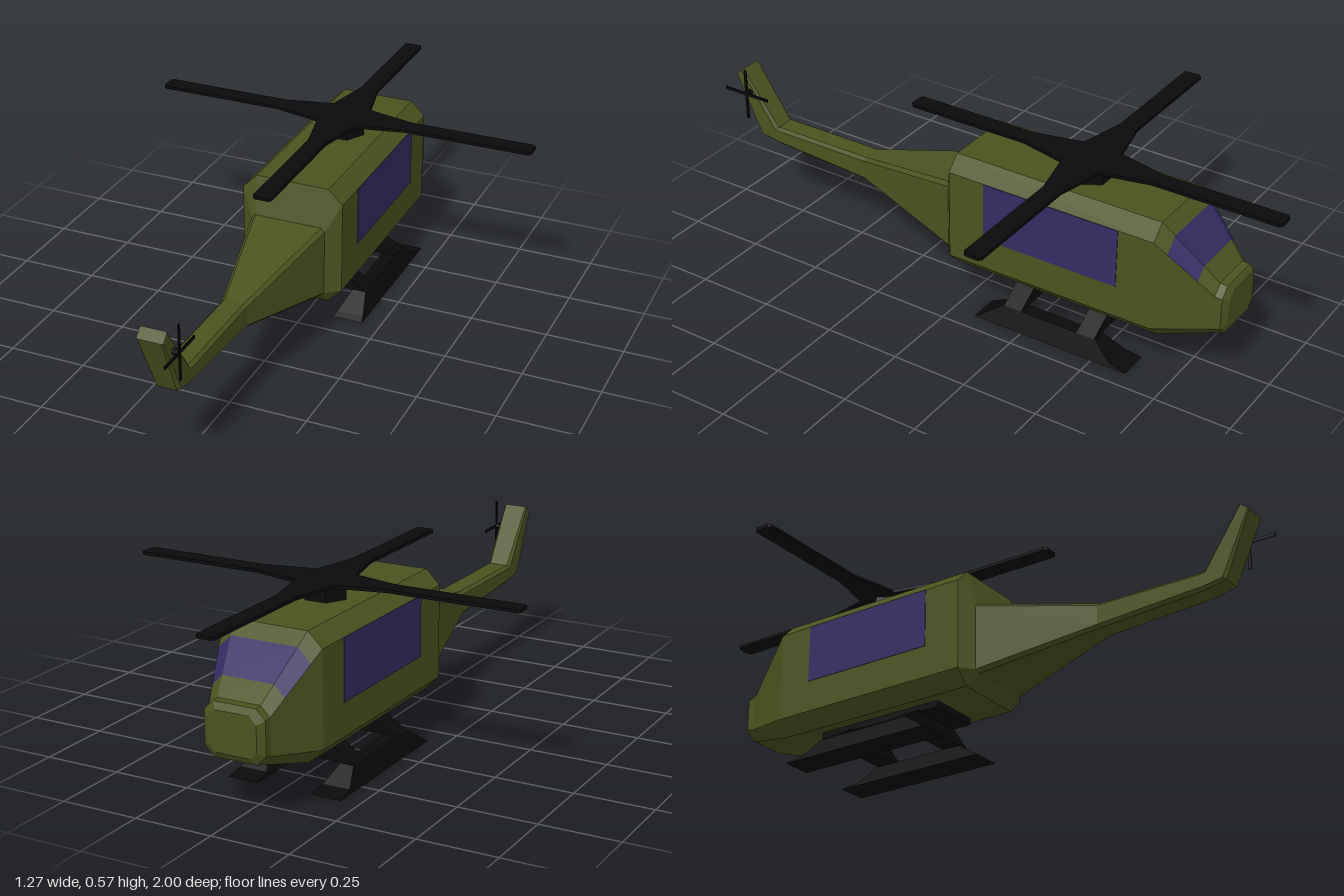
import * as THREE from 'three';

const paint = (color) => new THREE.MeshStandardMaterial({ color, flatShading: true });
const GREEN = paint(0x4b5320), GLASS = paint(0x332d62), BLACK = paint(0x0a0a0a);

// Chamfered-rectangle ring; station = [zBottom, yBottom, zTop, yTop, halfWidth, chamfer]
function ring([zb, yb, zt, yt, w, c]) {
  const f = c / Math.hypot(zt - zb, yt - yb);
  const at = (x, t) => [x, yb + (yt - yb) * t, zb + (zt - zb) * t];
  const half = [[w - c, 0], [w, f], [w, 1 - f], [w - c, 1]];
  return [...half.map(([x, t]) => at(x, t)), ...half.reverse().map(([x, t]) => at(-x, t))];
}

// Flat-faced skin over stations running from front (-z) to back (+z)
function loft(stations, { capFront = false, capBack = false, keep = () => true } = {}) {
  const rings = stations.map(ring), pos = [];
  const tri = (...p) => p.forEach((v) => pos.push(...v));
  for (let s = 0; s < rings.length - 1; s++) {
    const A = rings[s], B = rings[s + 1];
    for (let i = 0; i < 8; i++) {
      if (!keep(s, i)) continue;
      const j = (i + 1) % 8;
      tri(A[i], A[j], B[j]);
      tri(A[i], B[j], B[i]);
    }
  }
  const F = rings[0], L = rings[rings.length - 1];
  for (let i = 1; i < 7; i++) {
    if (capFront) tri(F[0], F[i + 1], F[i]);
    if (capBack) tri(L[0], L[i], L[i + 1]);
  }
  const g = new THREE.BufferGeometry();
  g.setAttribute('position', new THREE.Float32BufferAttribute(pos, 3));
  g.computeVertexNormals();
  return g;
}

function add(parent, name, geometry, material, x = 0, y = 0, z = 0) {
  const m = new THREE.Mesh(geometry, material);
  m.name = name;
  m.position.set(x, y, z);
  parent.add(m);
  return m;
}

const shapeOf = (pts) => new THREE.Shape(pts.map(([x, y]) => new THREE.Vector2(x, y)));
const extrude = (pts, depth) =>
  new THREE.ExtrudeGeometry(shapeOf(pts), { depth, bevelEnabled: false });

// One skid: side profile extruded sideways, then tapered in x towards its top
function skidGeometry(side) {
  const g = extrude([[0.08, 0], [0.62, 0], [0.56, 0.012], [0.5, 0.06], [0.17, 0.06], [0.1, 0.012]], 1);
  g.rotateY(Math.PI / 2);
  const p = g.attributes.position;
  for (let i = 0; i < p.count; i++) {
    const t = p.getY(i) / 0.06;
    const inner = THREE.MathUtils.lerp(0.09, 0.12, t), outer = THREE.MathUtils.lerp(0.19, 0.165, t);
    const far = p.getX(i) > 0.5;
    p.setX(i, side > 0 ? (far ? outer : inner) : (far ? -inner : -outer));
  }
  g.computeVertexNormals();
  return g;
}

export function createModel() {
  const model = new THREE.Group();
  model.name = 'helicopter';
  const body = new THREE.Group();
  body.name = 'body';
  body.position.x = -0.003;
  model.add(body);

  // Cabin, with the windshield taken out of the sloping nose
  const brow = [-0.677, 0.125, -0.677, 0.515, 0.166, 0.046];
  const chin = [-0.848, 0.168, -0.848, 0.342, 0.1, 0.03];
  const between = (t) => chin.map((v, i) => THREE.MathUtils.lerp(v, brow[i], t));
  const shoulder = [0.065, 0.16, 0.065, 0.397, 0.122, 0.012];
  const cabin = [
    [-0.885, 0.195, -0.885, 0.32, 0.078, 0.022],
    [-0.872, 0.175, -0.872, 0.34, 0.1, 0.03],
    chin, between(0.28), between(0.78), brow,
    [0.03, 0.125, 0.03, 0.515, 0.166, 0.046],
    shoulder,
  ];
  const isGlass = (s, i) => s === 3 && i >= 2 && i <= 4;
  add(body, 'cabin', loft(cabin, { capFront: true, keep: (s, i) => !isGlass(s, i) }), GREEN);
  add(body, 'windshield', loft(cabin, { keep: isGlass }), GLASS);

  // Tail boom bending up into the fin
  add(body, 'tailBoom', loft([
    shoulder,
    [0.45, 0.238, 0.45, 0.32, 0.041, 0.01],
    [0.805, 0.26, 0.8, 0.32, 0.041, 0.01],
  ]), GREEN);
  add(body, 'tailFin', loft([
    [0.805, 0.26, 0.8, 0.32, 0.041, 0.01],
    [0.88, 0.275, 0.808, 0.318, 0.041, 0.01],
    [0.968, 0.475, 0.94, 0.5, 0.041, 0.004],
  ], { capBack: true }), GREEN);

  // Side windows
  for (const s of [1, -1]) {
    add(body, s > 0 ? 'leftWindow' : 'rightWindow',
      new THREE.BoxGeometry(0.006, 0.193, 0.465), GLASS, s * 0.165, 0.372, -0.327);
  }

  // Main rotor: hexagonal mast and four blades widening towards the hub
  const mast = new THREE.CylinderGeometry(0.07, 0.07, 0.056, 6);
  mast.rotateY(Math.PI / 2);
  add(model, 'mast', mast, BLACK, 0, 0.54, -0.37);
  const star = [];
  const blade = [[0.065, -0.065], [0.22, -0.03], [0.625, -0.03], [0.634, -0.022],
    [0.634, 0.022], [0.625, 0.03], [0.22, 0.03]];
  for (let k = 0; k < 4; k++) {
    const c = Math.round(Math.cos(k * Math.PI / 2)), s = Math.round(Math.sin(k * Math.PI / 2));
    blade.forEach(([x, y]) => star.push([x * c - y * s, x * s + y * c]));
  }
  const rotor = extrude(star, 0.01);
  rotor.rotateX(-Math.PI / 2);
  add(model, 'mainRotor', rotor, BLACK, 0, 0.564, -0.37);

  // Tail rotor on the left of the fin
  const tailRotor = new THREE.Group();
  tailRotor.name = 'tailRotor';
  tailRotor.position.set(0.057, 0.425, 0.912);
  model.add(tailRotor);
  const hub = new THREE.CylinderGeometry(0.01, 0.01, 0.026, 8);
  hub.rotateZ(Math.PI / 2);
  add(tailRotor, 'tailRotorHub', hub, BLACK, -0.012);
  for (let k = 0; k < 2; k++) {
    add(tailRotor, 'tailRotorBlade', new THREE.BoxGeometry(0.004, 0.176, 0.01), BLACK)
      .rotation.x = k * Math.PI / 2;
  }

  // Landing gear: belly plate, two cross members, two skids
  const gear = new THREE.Group();
  gear.name = 'landingGear';
  model.add(gear);
  add(gear, 'bellyPlate', new THREE.BoxGeometry(0.176, 0.024, 0.455), BLACK, 0, 0.116, -0.332);
  for (const z of [-0.235, -0.495]) {
    add(gear, 'crossMember',
      extrude([[-0.165, 0.06], [0.165, 0.06], [0.09, 0.108], [-0.09, 0.108]], 0.063), BLACK, 0, 0, z);
  }
  for (const s of [1, -1]) add(gear, s > 0 ? 'leftSkid' : 'rightSkid', skidGeometry(s), BLACK);

  return model;
}
